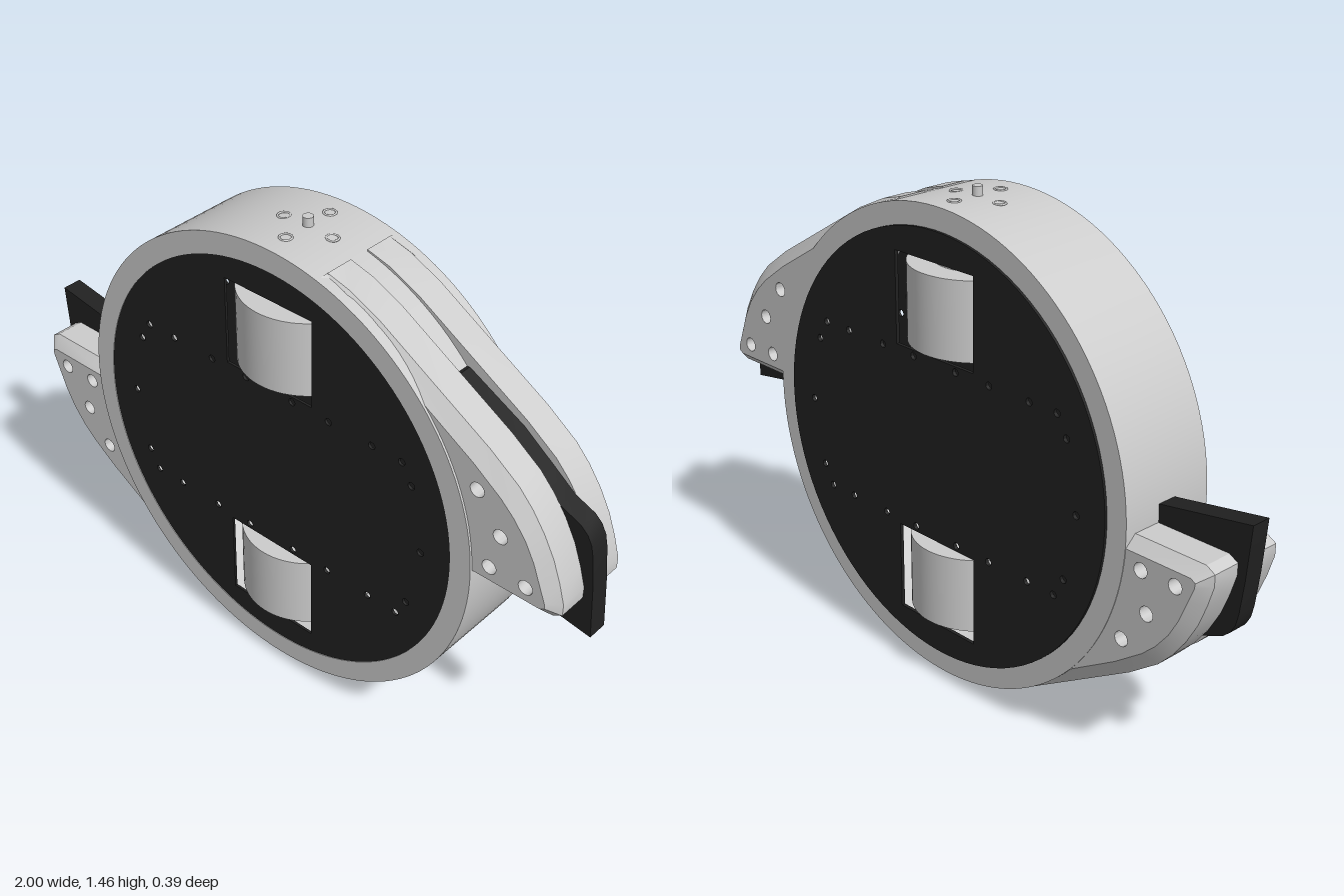
import * as THREE from 'three';
import { toCreasedNormals } from 'three/addons/utils/BufferGeometryUtils.js';

const CY = 0.732;      // height of the disc centre
const R = 0.705;       // outer radius of the ring
const shellGrey = new THREE.MeshStandardMaterial({ color: 0xcccccc });
shellGrey.name = 'shell grey';
const plateBlack = new THREE.MeshStandardMaterial({ color: 0x212121 });
plateBlack.name = 'plate black';

const V = (x, y) => new THREE.Vector2(x, y);

function addMesh(parent, name, geometry, material, x = 0, y = 0, z = 0) {
  const mesh = new THREE.Mesh(geometry, material);
  mesh.name = name;
  mesh.position.set(x, y, z);
  parent.add(mesh);
  return mesh;
}

function circleHole(x, y, r) {
  return new THREE.Path().absarc(x, y, r, 0, Math.PI * 2, true);
}

function slab(shape, z0, z1, curveSegments = 12) {
  const g = new THREE.ExtrudeGeometry(shape, { depth: z1 - z0, bevelEnabled: false, curveSegments });
  g.translate(0, 0, z0);
  return toCreasedNormals(g, 0.5);
}

// Round cover plate with two wheel windows and rows of screw holes, centred on the origin
function plateGeometry(z0, z1) {
  const shape = new THREE.Shape().absarc(0, 0, 0.64, 0, Math.PI * 2, false);
  for (const s of [1, -1]) {
    const a = 0.28 * s, b = 0.552 * s;
    shape.holes.push(new THREE.Path([V(-0.155, a), V(-0.155, b), V(0.155, b), V(0.155, a)]));
    for (const m of [1, -1]) {
      for (const [x, y] of [[0.465, 0.263], [0.365, 0.263], [0.215, 0.263], [0.085, 0.263], [0.5, 0.203]]) {
        shape.holes.push(circleHole(x * m, y * s, 0.011));
      }
    }
    shape.holes.push(circleHole(0.54 * s, 0, 0.011));
  }
  return slab(shape, z0, z1, 48);
}

// Points along the inside of the ring that close the tooth outlines
function innerArc(from, to, n) {
  const pts = [];
  for (let i = 0; i <= n; i++) {
    const a = from + (to - from) * i / n;
    pts.push(V(0.665 * Math.cos(a), 0.665 * Math.sin(a)));
  }
  return pts;
}

const boltHoles = [[0.70, 0.30], [0.78, 0.193], [0.755, 0.078], [0.868, 0.078]];
const withBolts = (shape) => {
  for (const [x, y] of boltHoles) shape.holes.push(circleHole(x, y, 0.022));
  return shape;
};

// One half of a fairing: outline with a chamfered outer rim; each row is outer x, y, chamfered x, y
const fairingRim = [
  [0.68, 0.004, 0.68, 0.036], [0.935, 0.004, 0.915, 0.036], [0.963, 0.02, 0.93, 0.045],
  [0.963, 0.055, 0.928, 0.06], [0.945, 0.115, 0.91, 0.105], [0.92, 0.18, 0.885, 0.168],
  [0.885, 0.243, 0.855, 0.222], [0.845, 0.298, 0.815, 0.272], [0.80, 0.345, 0.772, 0.312],
  [0.706, 0.412, 0.682, 0.376], [0.35, 0.622, 0.335, 0.585], [0.25, 0.668, 0.24, 0.640],
  [0.175, 0.688, 0.17, 0.682],
];
function fairingHalf() {
  const z0 = 0.032, z1 = 0.153, chamfer = 0.033;
  const outline = fairingRim.map((p) => V(p[0], p[1])).concat(innerArc(1.3, 0.03, 12));
  const g = new THREE.ExtrudeGeometry(withBolts(new THREE.Shape(outline)),
    { depth: 1, steps: 2, bevelEnabled: false, curveSegments: 8 });
  const pos = g.attributes.position;
  for (let i = 0; i < pos.count; i++) {
    const x = pos.getX(i), y = pos.getY(i), level = Math.round(pos.getZ(i) * 2);
    pos.setZ(i, [z0, z1 - chamfer, z1][level]);
    if (level < 2) continue;
    const rim = fairingRim.find((p) => Math.hypot(p[0] - x, p[1] - y) < 1e-4);
    if (rim) pos.setXY(i, rim[2], rim[3]);
  }
  return toCreasedNormals(g, 0.5);
}

// Steel tooth clamped between the two fairing halves
function bladeGeometry() {
  const pts = [V(0.66, -0.041), V(1.0, -0.096), V(0.988, 0.06), V(0.976, 0.16), V(0.968, 0.195),
    V(0.953, 0.222), V(0.93, 0.242), V(0.866, 0.268), V(0.80, 0.318), V(0.70, 0.392), V(0.52, 0.487), V(0.48, 0.48)];
  return slab(withBolts(new THREE.Shape(pts.concat(innerArc(0.8, 0.02, 8)))), -0.031, 0.031, 8);
}

export function createModel() {
  const model = new THREE.Group();
  model.name = 'spinningDisc';

  // Hollow ring
  const ring = new THREE.Shape().absarc(0, 0, R, 0, Math.PI * 2, false);
  ring.holes.push(circleHole(0, 0, 0.639));
  addMesh(model, 'ring', slab(ring, -0.155, 0.16, 64), shellGrey, 0, CY);

  // Cover plates
  addMesh(model, 'frontPlate', plateGeometry(0.15, 0.158), plateBlack, 0, CY);
  addMesh(model, 'backPlate', plateGeometry(-0.163, -0.152), plateBlack, 0, CY);

  // Teeth on opposite sides
  const half = fairingHalf(), blade = bladeGeometry();
  const backHalf = half.clone();
  backHalf.rotateX(Math.PI).scale(1, -1, 1);
  // restore the face order after mirroring
  for (const key of ['position', 'normal']) {
    const a = backHalf.attributes[key];
    for (let i = 0; i < a.count; i += 3) {
      const p = [a.getX(i), a.getY(i), a.getZ(i)];
      a.setXYZ(i, a.getX(i + 1), a.getY(i + 1), a.getZ(i + 1));
      a.setXYZ(i + 1, ...p);
    }
  }
  for (const [name, turn] of [['leftTooth', 0], ['rightTooth', Math.PI]]) {
    const tooth = new THREE.Group();
    tooth.name = name;
    tooth.position.y = CY;
    tooth.rotation.z = turn;
    addMesh(tooth, 'fairingFront', half, shellGrey);
    addMesh(tooth, 'fairingBack', backHalf, shellGrey);
    addMesh(tooth, 'blade', blade, plateBlack);
    model.add(tooth);
  }

  // Wheels on upright axles, with the screws around each axle end
  for (const [name, s] of [['upperWheel', 1], ['lowerWheel', -1]]) {
    const unit = new THREE.Group();
    unit.name = name;
    unit.position.y = CY;
    addMesh(unit, 'wheel', new THREE.CylinderGeometry(0.195, 0.195, 0.23, 64), shellGrey, 0, 0.413 * s);
    addMesh(unit, 'hub', new THREE.CylinderGeometry(0.12, 0.12, 0.026, 40), shellGrey, 0, 0.54 * s);
    addMesh(unit, 'axle', new THREE.CylinderGeometry(0.015, 0.015, 0.2, 20), shellGrey, 0, 0.632 * s);
    for (let i = 0; i < 4; i++) {
      const a = i * Math.PI / 2, x = 0.085 * Math.cos(a), z = 0.085 * Math.sin(a);
      const screw = addMesh(unit, 'screwRim', new THREE.TorusGeometry(0.017, 0.003, 8, 24), shellGrey,
        x, s * Math.sqrt(R * R - x * x), z);
      screw.rotation.x = Math.PI / 2;
    }
    model.add(unit);
  }
  return model;
}
